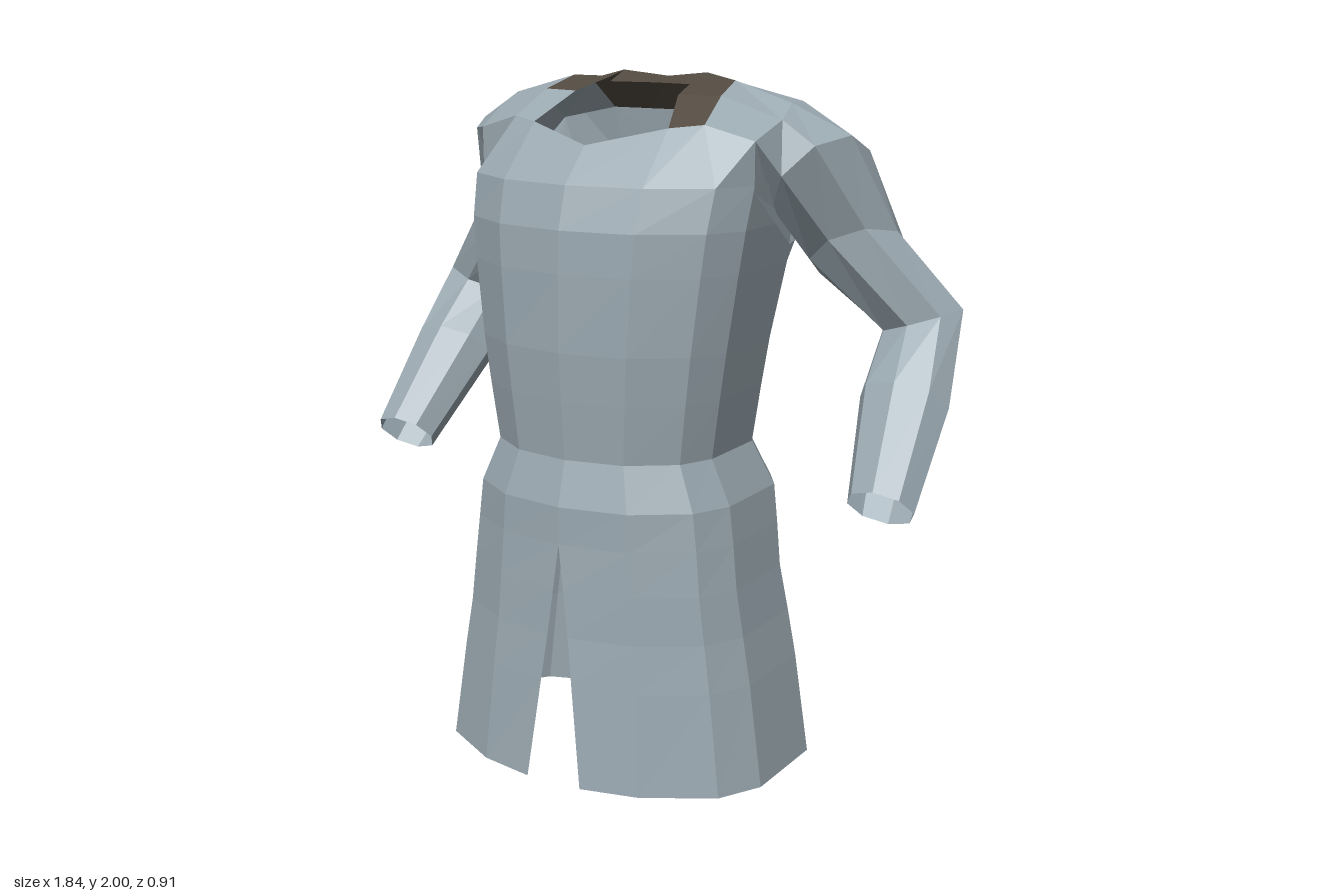
import * as THREE from 'three';

const cloth = new THREE.MeshStandardMaterial({ color: 0x9aa8b0, flatShading: true, side: THREE.DoubleSide });
const trim = new THREE.MeshStandardMaterial({ color: 0x524a40, flatShading: true, side: THREE.DoubleSide });

// Faceted surface through rows of points; skip(row, col) leaves a hole.
function loft(name, rows, material, skip = () => false) {
  const pos = [];
  for (let r = 0; r < rows.length - 1; r++) {
    for (let c = 0; c < rows[r].length - 1; c++) {
      if (skip(r, c)) continue;
      const [a, b, d, e] = [rows[r][c], rows[r][c + 1], rows[r + 1][c], rows[r + 1][c + 1]];
      pos.push(...a, ...b, ...e, ...a, ...e, ...d);
    }
  }
  const geo = new THREE.BufferGeometry();
  geo.setAttribute('position', new THREE.Float32BufferAttribute(pos, 3));
  geo.computeVertexNormals();
  const mesh = new THREE.Mesh(geo, material);
  mesh.name = name;
  return mesh;
}

// Half body outline, front to back: [share of half width, share of depth]
const outline = [[0, 1], [0.5, 0.95], [0.87, 0.8], [1, 0.63], [1, 0.23], [0.87, 0.11], [0.5, 0.025], [0, 0]];

// Body sections: [height, half width, front z, back z, squareness of the back]
const sections = [
  [0, 0.53, 0.46, -0.3, 0], [0.3, 0.485, 0.44, -0.29, 0], [0.44, 0.46, 0.43, -0.28, 0],
  [0.58, 0.44, 0.425, -0.255, 0], [0.71, 0.425, 0.42, -0.262, 0], [0.82, 0.41, 0.42, -0.27, 0],
  [0.95, 0.35, 0.385, -0.22, 0], [1.12, 0.375, 0.4, -0.23, 0], [1.26, 0.395, 0.41, -0.245, 0],
  [1.48, 0.425, 0.41, -0.27, 0.15], [1.6, 0.44, 0.405, -0.29, 0.5], [1.72, 0.45, 0.37, -0.31, 0.85],
];

const slitTop = 0.71;
function bodyRow([y, w, zf, zb, square]) {
  return outline.map(([u, t], i) => {
    const slit = u === 0 ? 0.09 * Math.max(0, 1 - y / slitTop) : 0;
    const depth = i > 3 ? t * (1 - square) : t;
    return [u * w + slit, y, zb + (zf - zb) * depth];
  });
}

// Top edge of the chest and back, front to back
const yoke = [
  [0, 1.82, 0.27], [0.22, 1.87, 0.19], [0.31, 1.88, 0.15], [0.45, 1.84, 0.12],
  [0.43, 1.84, -0.29], [0.36, 1.86, -0.29], [0.24, 1.88, -0.28], [0, 1.88, -0.285],
];

// Shoulder arches, front to back: neck edge, trim edge, armhole
const neckArch = [[0.22, 1.87, 0.19], [0.17, 1.95, 0.05], [0.14, 1.985, -0.1], [0.14, 2, -0.17], [0.12, 1.88, -0.283]];
const trimArch = [[0.31, 1.88, 0.15], [0.29, 1.95, 0.02], [0.27, 1.985, -0.1], [0.26, 1.97, -0.18], [0.24, 1.88, -0.28]];
const armArch = [[0.45, 1.84, 0.12], [0.47, 1.89, 0], [0.46, 1.93, -0.08], [0.45, 1.93, -0.17], [0.43, 1.84, -0.29]];
const backCentre = [[0, 1.97, -0.11], [0, 1.985, -0.19], [0, 1.88, -0.285]];
const backSide = [[0.14, 1.97, -0.09], neckArch[3], neckArch[4]];

// Sleeve rings: centre, outward radius vector, forward radius vector
const sleeveRings = [
  [[0.53, 1.72, -0.13], [0.09, 0.125, 0], [-0.04, 0.02, 0.17]],
  [[0.59, 1.5, -0.26], [0.12, 0.07, 0], [-0.03, 0.05, 0.14]],
  [[0.765, 1.31, -0.335], [0.122, 0.04, 0], [0, 0, 0.115]],
  [[0.785, 1.1, -0.17], [0.135, 0, 0], [0, 0.075, 0.075]],
  [[0.82, 0.85, 0.055], [0.1, 0, 0], [0, 0.06, 0.057]],
];

function sleeveRow([centre, out, fwd]) {
  return Array.from({ length: 9 }, (_, i) => {
    const a = (i * Math.PI) / 4;
    return centre.map((v, k) => v + Math.cos(a) * fwd[k] + Math.sin(a) * out[k]);
  });
}

export function createModel() {
  const group = new THREE.Group();
  group.name = 'tunic';

  const bodyRows = [...sections.map(bodyRow), yoke];
  const armhole = [...armArch, [0.44, 1.62, -0.28], [0.44, 1.53, -0.12], [0.45, 1.7, 0.12], armArch[0]];
  const sleeveRows = [armhole, ...sleeveRings.map(sleeveRow)].reverse();

  for (const side of [1, -1]) {
    const label = side > 0 ? 'left' : 'right';
    // Mirror points and reverse the rows so faces keep pointing outward
    const place = (rows) => (side > 0 ? rows
      : rows.map((row) => row.map(([x, y, z]) => [-x, y, z])).reverse());
    const topBand = side > 0 ? bodyRows.length - 2 : 0;

    // Skirt and torso half, open at the armhole
    group.add(loft(label + 'Body', place(bodyRows), cloth, (r, c) => r === topBand && c === 3));
    group.add(loft(label + 'Sleeve', place(sleeveRows), cloth));
    group.add(loft(label + 'Shoulder', place([armArch, trimArch]), cloth));

    // Dark neck trim; the right front patch is plain cloth
    const first = side > 0 ? 0 : 1;
    const collar = [trimArch, neckArch];
    group.add(loft(label + 'NeckTrim', place(collar.map((row) => row.slice(first))), trim));
    if (first) group.add(loft('rightNeckPatch', place(collar.map((row) => row.slice(0, 2))), cloth));
    group.add(loft(label + 'BackTrim', place([backSide, backCentre]), trim));
  }
  return group;
}
